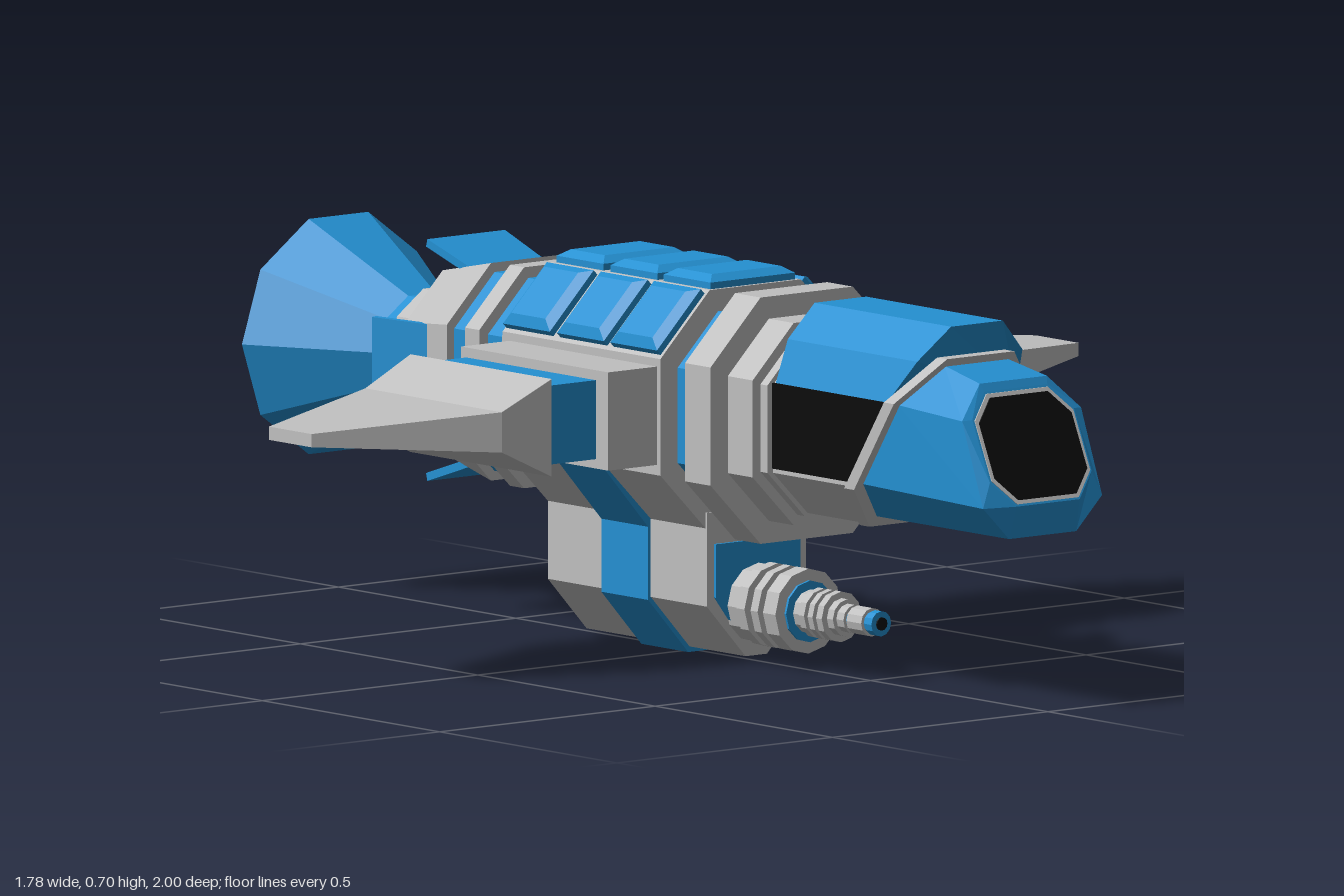
import * as THREE from 'three';

const blue = new THREE.MeshStandardMaterial({ color: 0x2490d2 }); blue.name = 'blue paint';
const grey = new THREE.MeshStandardMaterial({ color: 0xbfbfbf }); grey.name = 'grey hull';
const black = new THREE.MeshStandardMaterial({ color: 0x0b0b0b }); black.name = 'black glass';

const CY = 0.462; // height of the fuselage axis

// Flat-faced solid through matching convex rings of [x, y, z], capped at both ends.
function loft(rings) {
  const tris = [], n = rings[0].length, last = rings[rings.length - 1];
  for (let r = 0; r < rings.length - 1; r++) {
    const a = rings[r], b = rings[r + 1];
    for (let i = 0; i < n; i++) {
      const j = (i + 1) % n;
      tris.push([a[i], a[j], b[j]], [a[i], b[j], b[i]]);
    }
  }
  for (let i = 1; i < n - 1; i++) {
    tris.push([rings[0][0], rings[0][i + 1], rings[0][i]], [last[0], last[i], last[i + 1]]);
  }
  // Turn all faces outwards, whichever way the rings run
  let volume = 0;
  for (const [a, b, c] of tris) {
    volume += a[0] * (b[1] * c[2] - b[2] * c[1]) + a[1] * (b[2] * c[0] - b[0] * c[2]) + a[2] * (b[0] * c[1] - b[1] * c[0]);
  }
  if (volume < 0) tris.forEach((t) => t.reverse());
  const geo = new THREE.BufferGeometry();
  geo.setAttribute('position', new THREE.Float32BufferAttribute(tris.flat(2), 3));
  geo.computeVertexNormals();
  return geo;
}

// Ring at depth z; z may be a number or a rule of height y
const ring = (pts, z) => pts.map(([x, y]) => [x, y, typeof z === 'function' ? z(y) : z]);
const prism = (pts, z0, z1) => loft([ring(pts, z0), ring(pts, z1)]);
// Octagon with half width w between y0 and y1, corners cut by c
const oct = (w, y0, y1, c) => [
  [w, y0 + c], [w, y1 - c], [w - c, y1], [c - w, y1], [-w, y1 - c], [-w, y0 + c], [c - w, y0], [w - c, y0]];
const hull = (r) => oct(r, CY - r, CY + r, r * 0.52);
const mirrored = (half) => [...half, ...half.slice().reverse().map(([x, y]) => [-x, y])];

// Turned part along z, flat-faced; profile points are [radius, distance along +z]
function turned(profile, sides) {
  const geo = new THREE.LatheGeometry(profile.map(([r, h]) => new THREE.Vector2(r, h)), sides, Math.PI / 2)
    .rotateX(Math.PI / 2).toNonIndexed();
  geo.computeVertexNormals();
  return geo;
}

export function createModel() {
  const model = new THREE.Group();
  model.name = 'spaceship';
  const add = (name, geo, mat, parent = model) => {
    const mesh = new THREE.Mesh(geo, mat);
    mesh.name = name;
    parent.add(mesh);
    return mesh;
  };

  // Fuselage segments: front z, back z, front radius, back radius, colour
  const segments = [
    [0.41, 0.39, 0.165, 0.165, grey], [0.39, 0.315, 0.183, 0.183, grey],
    [0.32, 0.248, 0.223, 0.223, grey], [0.25, 0.17, 0.18, 0.18, blue],
    [0.175, -0.27, 0.22, 0.22, grey], [-0.27, -0.31, 0.188, 0.188, grey],
    [-0.31, -0.36, 0.18, 0.18, blue], [-0.36, -0.40, 0.2, 0.2, grey],
    [-0.40, -0.455, 0.18, 0.18, blue], [-0.455, -0.61, 0.197, 0.165, grey],
    [-0.61, -0.645, 0.125, 0.115, grey], [-0.645, -0.68, 0.09, 0.09, grey],
  ];
  for (const [z0, z1, r0, r1, mat] of segments) {
    add('fuselageSegment', loft([ring(hull(r0), z0), ring(hull(r1), z1)]), mat);
  }

  // Cockpit, cut along a slanted plane
  const slant = (y) => 0.8 - (0.61 - y) * 0.667;
  const cabin = oct(0.152, 0.302, 0.622, 0.08);
  add('cockpitBody', prism(cabin, 0.4, (y) => slant(y) - 0.01), grey);
  add('cockpitFrame', prism(oct(0.158, 0.298, 0.626, 0.08), (y) => slant(y) - 0.028, slant), grey);
  const roof = mirrored([[0.15, 0.545], [0.122, 0.622], [0.06, 0.682]]);
  add('canopy', prism(roof, 0.415, (y) => Math.min(0.8, slant(y) - 0.028)), blue);
  for (const s of [1, -1]) {
    const pane = [[0.545, 0.41], [0.545, 0.725], [0.39, 0.622], [0.39, 0.41]];
    add('sideWindow', loft([0.149, 0.1545].map((x) => pane.map(([y, z]) => [s * x, y, z]))), black);
  }

  // Nose with a raked windscreen
  const rake = (y) => 1 - (y - 0.39) * 0.46;
  add('nose', loft([
    ring(oct(0.142, 0.318, 0.612, 0.07), (y) => slant(y) - 0.005),
    ring(oct(0.138, 0.32, 0.592, 0.06), (y) => 0.985 - Math.max(0, y - 0.38) * 0.39),
    ring(oct(0.118, 0.38, 0.578, 0.045), (y) => rake(y) - 0.004),
  ]), blue);
  const screen = (w, y0, y1, c, lift) =>
    prism(oct(w, y0, y1, c), (y) => rake(y) - 0.006, (y) => rake(y) + lift);
  add('windscreenTrim', screen(0.114, 0.384, 0.574, 0.043, -0.002), grey);
  add('windscreen', screen(0.107, 0.391, 0.567, 0.04, 0), black);

  // Raised roof panels: three rows on the top and on both upper slopes
  for (const k of [-1, 0, 1]) {
    const side = new THREE.Group();
    side.name = 'roofPanels';
    side.position.set(k * 0.163, k ? 0.625 : CY + 0.22, 0);
    side.rotation.z = -k * Math.PI / 4;
    model.add(side);
    const w = k ? 0.072 : 0.098;
    for (const z of [0.102, -0.048, -0.2]) {
      const rect = (hx, hz, y) => [[hx, y, z + hz], [hx, y, z - hz], [-hx, y, z - hz], [-hx, y, z + hz]];
      add('roofPanel', loft([rect(w, 0.066, -0.01), rect(w, 0.066, 0.012), rect(w - 0.018, 0.048, 0.024)]), blue, side);
    }
  }

  // Wings
  const slab = (x, y0, y1, z0, z1) => [[x, y0, z0], [x, y1, z0], [x, y1, z1], [x, y0, z1]];
  for (const s of [1, -1]) {
    const wing = new THREE.Group();
    wing.name = s > 0 ? 'leftWing' : 'rightWing';
    model.add(wing);
    add('wingRoot', loft([slab(s * 0.2, 0.375, 0.553, 0.165, -0.25), slab(s * 0.333, 0.375, 0.553, 0.165, -0.25)]), grey, wing);
    add('wingJoint', loft([slab(s * 0.33, 0.392, 0.535, 0.13, -0.235), slab(s * 0.455, 0.392, 0.535, 0.13, -0.235)]), blue, wing);
    add('wingBlade', loft([
      slab(s * 0.45, 0.373, 0.55, 0.148, -0.25),
      slab(s * 0.555, 0.425, 0.498, 0.135, -0.25),
      slab(s * 0.89, 0.451, 0.475, 0.005, -0.115),
    ]), grey, wing);
  }

  // Belly pod with its blue belt
  const pod = mirrored([[0.115, 0.28], [0.115, 0.11], [0.025, 0.012]]);
  add('bellyPod', prism(pod, 0.178, -0.27), grey);
  add('podBelt', prism(mirrored([[0.121, 0.27], [0.121, 0.105], [0.028, 0.002]]), 0.02, -0.112), blue);
  for (const s of [1, -1]) {
    const strap = [[0.215, 0.37], [0.232, 0.362], [0.118, 0.234], [0.1, 0.25]].map(([x, y]) => [s * x, y]);
    add('hullStrap', prism(strap, 0.02, -0.112), blue);
  }
  add('podFrontPanel', prism(mirrored([[0.098, 0.222], [0.098, 0.125], [0.06, 0.075]]), 0.17, 0.184), blue);

  // Gun: back z, front z, radius, colour
  const gun = new THREE.Group();
  gun.name = 'gun';
  gun.position.y = 0.108;
  model.add(gun);
  const barrel = [
    [0.17, 0.21, 0.072, grey], [0.20, 0.33, 0.056, blue], [0.215, 0.238, 0.077, grey],
    [0.255, 0.275, 0.077, grey], [0.29, 0.325, 0.077, grey], [0.32, 0.365, 0.04, grey],
    [0.36, 0.42, 0.033, blue], [0.352, 0.368, 0.046, grey], [0.378, 0.392, 0.046, grey],
    [0.402, 0.418, 0.046, grey], [0.41, 0.435, 0.034, grey], [0.43, 0.515, 0.02, blue],
    [0.435, 0.455, 0.026, grey], [0.463, 0.505, 0.026, grey], [0.512, 0.53, 0.023, blue],
  ];
  for (const [z0, z1, r, mat] of barrel) {
    add('gunSection', turned([[0, z0], [r, z0], [r, z1], [0, z1]], 12), mat, gun);
  }
  add('muzzle', turned([[0.012, 0.525], [0.012, 0.533], [0, 0.533]], 12), black, gun);

  // Four flared tail flaps
  for (let i = 0; i < 4; i++) {
    const flap = new THREE.Group();
    flap.name = 'tailFlap';
    flap.position.y = CY;
    flap.rotation.z = i * Math.PI / 2;
    model.add(flap);
    const edge = (w, y, z) => [[w, y, z], [w, y - 0.014, z - 0.004], [-w, y - 0.014, z - 0.004], [-w, y, z]];
    add('flapPlate', loft([edge(0.085, 0.177, -0.515), edge(0.09, 0.219, -0.64)]), blue, flap);
  }

  // Engine nozzle
  const engine = new THREE.Group();
  engine.name = 'engine';
  engine.position.y = CY;
  model.add(engine);
  add('engineCollar', turned([[0, -0.715], [0.122, -0.715], [0.122, -0.678], [0, -0.678]], 10), grey, engine);
  add('nozzleBell', turned([[0.224, -1], [0.102, -0.765], [0.102, -0.645], [0, -0.645]], 10), blue, engine);
  add('nozzleLining', turned([[0, -0.78], [0.085, -0.78], [0.205, -1], [0.224, -1]], 10), grey, engine);

  return model;
}
